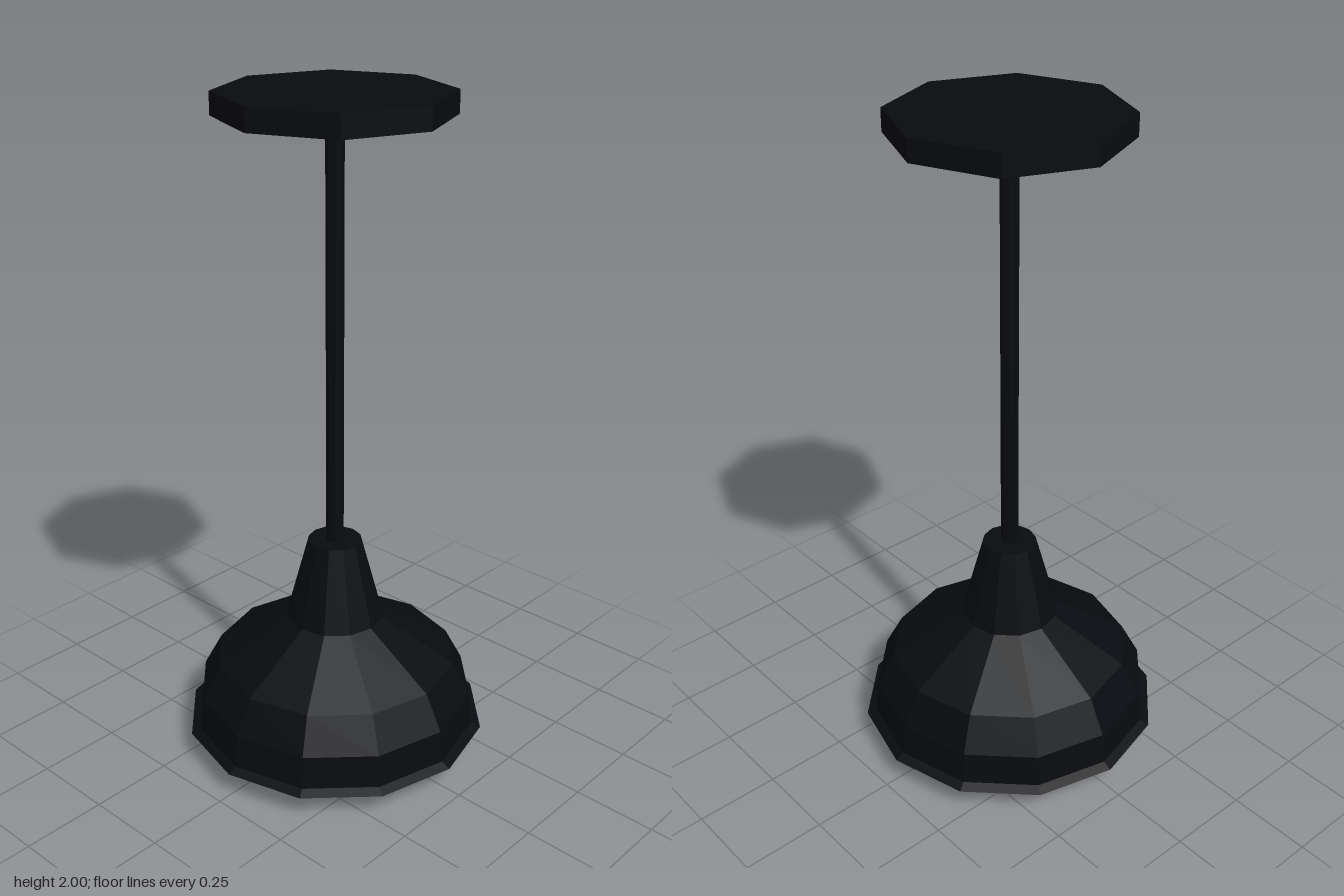
import * as THREE from 'three';

export function createModel() {
  const model = new THREE.Group();
  model.name = 'pendantLamp';

  const dark = new THREE.MeshStandardMaterial({ color: 0x080b0f, flatShading: true });
  const darkThin = new THREE.MeshStandardMaterial({ color: 0x080b0f, flatShading: true, side: THREE.DoubleSide });
  const grey = new THREE.MeshStandardMaterial({ color: 0x6c6c6c, flatShading: true });

  const add = (name, geometry, material, y = 0) => {
    const mesh = new THREE.Mesh(geometry, material);
    mesh.name = name;
    mesh.position.y = y;
    model.add(mesh);
  };
  // Profile of [radius, height] pairs, listed from bottom to top
  const lathe = (profile, sides) =>
    new THREE.LatheGeometry(profile.map(([r, y]) => new THREE.Vector2(r, y)), sides);

  // Ceiling plate and hanging rod
  add('ceilingPlate', new THREE.CylinderGeometry(0.329, 0.329, 0.064, 8), dark, 1.968);
  add('rod', new THREE.CylinderGeometry(0.026, 0.026, 1.27, 8), dark, 1.315);

  // Tapered socket cover above the shade, open where it meets the shade
  add('socketCover', lathe([[0.147, 0.43], [0.08, 0.683], [0, 0.683]], 12), darkThin);

  // Shade with a small flared lip, turned inward to a shallow inner ceiling
  add('shade', lathe([
    [0, 0.315], [0.29, 0.315], [0.355, 0.28], [0.41, 0.185], [0.424, 0.085],
    [0.46, 0.077], [0.432, 0.09], [0.422, 0.19], [0.366, 0.296], [0.145, 0.43],
  ], 12), darkThin);

  // Rounded bulb with its narrow neck meeting the inner ceiling
  add('bulb', lathe([
    [0, 0.003], [0.07, 0.03], [0.105, 0.095], [0.08, 0.17], [0.04, 0.205], [0.024, 0.315],
  ], 8), grey);

  return model;
}
